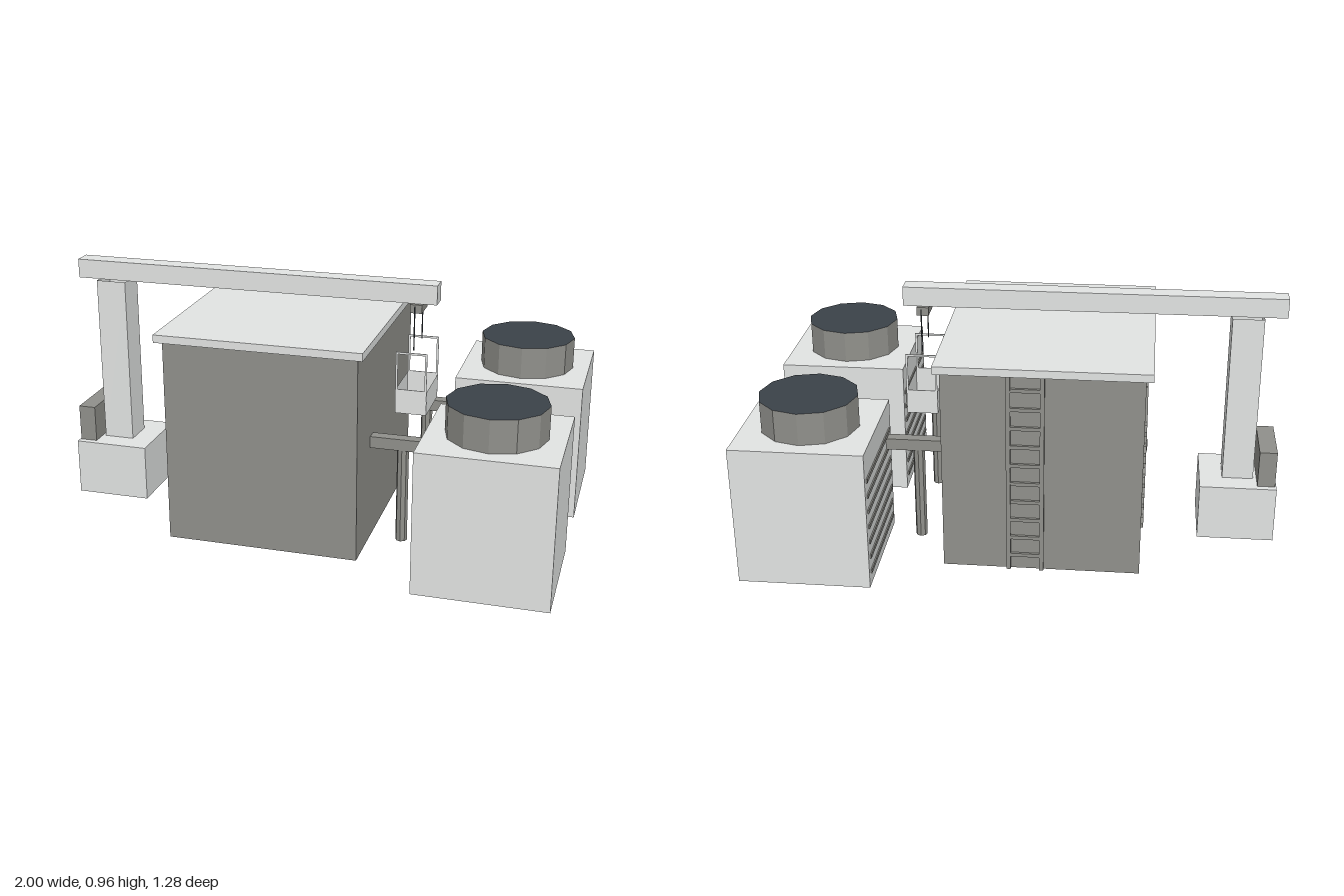
import * as THREE from 'three';

export function createModel() {
  const mat = (name, color) => {
    const m = new THREE.MeshStandardMaterial({ color, flatShading: true, side: THREE.DoubleSide });
    m.name = name;
    return m;
  };
  const light = mat('light grey paint', 0xe2e4e3);
  const dark = mat('dark grey metal', 0x90908b);
  const black = mat('fan charcoal', 0x3b4249);

  const model = new THREE.Group();
  model.name = 'plantStation';
  const group = (name) => {
    const g = new THREE.Group();
    g.name = name;
    model.add(g);
    return g;
  };
  const add = (parent, name, m, geometry, x, y, z) => {
    const mesh = new THREE.Mesh(geometry, m);
    mesh.position.set(x, y, z);
    mesh.name = name;
    parent.add(mesh);
    return mesh;
  };
  // Box given by its minimum and maximum on each axis; faces listed in open are left out
  const RIGHT = 0, TOP = 2, BOTTOM = 3;
  const box = (parent, name, m, x0, x1, y0, y1, z0, z1, open = []) => {
    const g = new THREE.BoxGeometry(x1 - x0, y1 - y0, z1 - z0);
    g.setIndex(Array.from(g.index.array).filter((v, i) => !open.includes(Math.floor(i / 6))));
    g.clearGroups();
    return add(parent, name, m, g, (x0 + x1) / 2, (y0 + y1) / 2, (z0 + z1) / 2);
  };
  const tube = (r, h, sides) => new THREE.CylinderGeometry(r, r, h, sides, 1, true);

  // Main building, open below, with overhanging roof
  const building = group('building');
  box(building, 'walls', dark, -0.482, 0.258, 0, 0.792, -0.445, 0.445, [TOP, BOTTOM]);
  box(building, 'roof', light, -0.508, 0.281, 0.792, 0.822, -0.468, 0.468);

  // Ventilation slats on the side wall
  for (let i = 0; i < 11; i++) {
    const y = 0.15 + i * 0.0425;
    box(building, 'wallSlat', dark, -0.491, -0.482, y - 0.008, y + 0.008, -0.345, -0.025, [RIGHT]);
  }

  // Door with frame and handle
  box(building, 'door', dark, -0.487, -0.482, 0, 0.53, 0.09, 0.325, [RIGHT]);
  box(building, 'doorJamb', dark, -0.491, -0.482, 0, 0.54, 0.08, 0.092, [RIGHT]);
  box(building, 'doorJamb', dark, -0.491, -0.482, 0, 0.54, 0.323, 0.335, [RIGHT]);
  box(building, 'doorLintel', dark, -0.491, -0.482, 0.528, 0.54, 0.092, 0.323, [RIGHT]);
  box(building, 'doorHandle', dark, -0.497, -0.487, 0.24, 0.285, 0.115, 0.132, [RIGHT]);

  // Ladder on the back wall
  const ladder = group('ladder');
  for (const x of [-0.122, 0.002]) {
    box(ladder, 'ladderRail', dark, x, x + 0.016, 0, 0.791, -0.459, -0.446);
  }
  for (let i = 0; i < 10; i++) {
    const y = 0.06 + i * 0.075;
    box(ladder, 'ladderRung', dark, -0.108, 0.004, y - 0.007, y + 0.007, -0.456, -0.446);
  }

  // Two cooling units, each with fan, louvres, pipe and pipe support
  for (const s of [-1, 1]) {
    const unit = group('coolingUnit');
    const z = s * 0.395;
    box(unit, 'unitBody', light, 0.504, 1, 0, 0.543, z - 0.245, z + 0.245, [BOTTOM]);
    add(unit, 'fanHousing', dark, tube(0.185, 0.124, 12), 0.752, 0.605, z);
    const lid = add(unit, 'fanLid', black, new THREE.CircleGeometry(0.185, 12), 0.752, 0.667, z);
    lid.rotation.x = -Math.PI / 2;
    for (let i = 0; i < 7; i++) {
      const y = 0.055 + i * 0.0625;
      box(unit, 'unitLouvre', dark, 0.499, 0.504, y - 0.008, y + 0.008, z - 0.22, z + 0.22, [RIGHT]);
    }
    box(unit, 'pipe', dark, 0.258, 0.503, 0.375, 0.42, s * 0.222 - 0.0225, s * 0.222 + 0.0225);
    add(unit, 'pipeSupport', dark, tube(0.0225, 0.375, 8), 0.38, 0.1875, s * 0.222);
  }

  // Crane: hollow base, skids, control cabinet, column and beam
  const crane = group('crane');
  box(crane, 'craneBase', light, -1, -0.704, 0, 0.223, -0.147, 0.147, [BOTTOM]);
  for (const s of [-1, 1]) {
    box(crane, 'skid', dark, -0.995, -0.71, 0.001, 0.01, s * 0.12 - 0.014, s * 0.12 + 0.014);
  }
  box(crane, 'controlCabinet', dark, -0.995, -0.927, 0.223, 0.368, -0.122, 0.122, [BOTTOM]);
  box(crane, 'column', light, -0.913, -0.793, 0.223, 0.888, -0.06, 0.06, [TOP, BOTTOM]);
  box(crane, 'beam', light, -1, 0.457, 0.888, 0.963, -0.036, 0.036);

  // Hoist, cables and hanging open cradle
  const hoist = group('hoist');
  box(hoist, 'trolley', dark, 0.357, 0.403, 0.855, 0.888, -0.051, 0.051);
  box(hoist, 'cradle', light, 0.321, 0.441, 0.472, 0.566, -0.108, 0.108, [TOP]);
  for (const s of [-1, 1]) {
    add(hoist, 'cable', black, tube(0.0025, 0.17, 6), 0.381, 0.803, s * 0.075);
    const z0 = s * 0.111 - 0.0015, z1 = s * 0.111 + 0.0015;
    box(hoist, 'cradlePost', light, 0.321, 0.329, 0.492, 0.718, z0, z1);
    box(hoist, 'cradlePost', light, 0.433, 0.441, 0.492, 0.718, z0, z1);
    box(hoist, 'cradleTopBar', light, 0.329, 0.433, 0.71, 0.718, z0, z1);
    box(hoist, 'cradleEndPlate', light, 0.329, 0.433, 0.492, 0.57, z0, z1);
  }

  return model;
}
